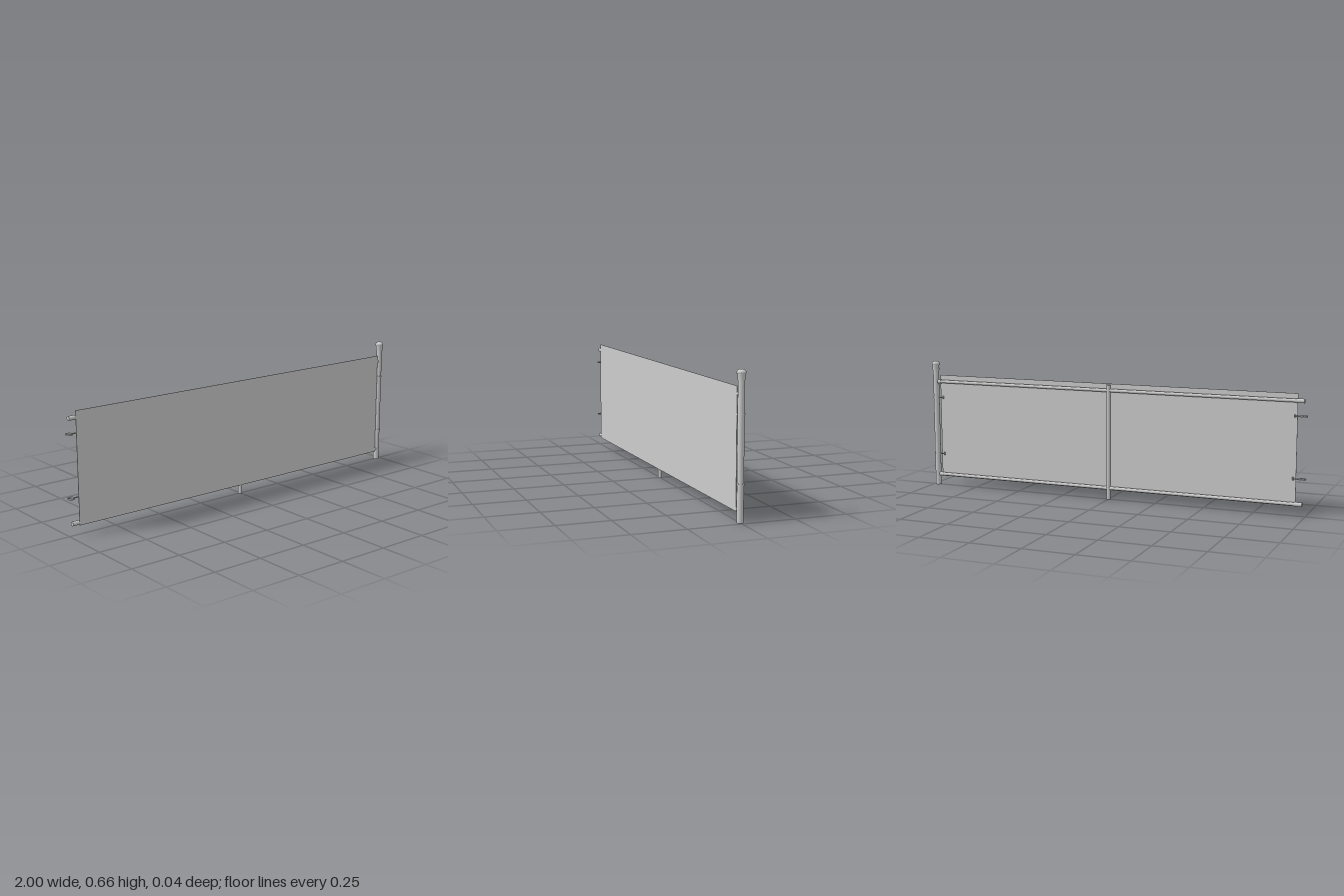
import * as THREE from 'three';

const material = new THREE.MeshStandardMaterial({ color: 0xcccccc });
const sheetMaterial = new THREE.MeshStandardMaterial({ color: 0xcccccc, side: THREE.DoubleSide });

export function createModel() {
  const group = new THREE.Group();

  const add = (name, geometry, x, y, z = 0, mat = material) => {
    const mesh = new THREE.Mesh(geometry, mat);
    mesh.name = name;
    mesh.position.set(x, y, z);
    group.add(mesh);
    return mesh;
  };

  // Horizontal tube between two x positions
  const bar = (name, r, x0, x1, y, z = 0) => {
    const geometry = new THREE.CylinderGeometry(r, r, x1 - x0, 20).rotateZ(Math.PI / 2);
    return add(name, geometry, (x0 + x1) / 2, y, z);
  };

  // Upright tube standing on the ground
  const post = (name, r, height, x) =>
    add(name, new THREE.CylinderGeometry(r, r, height, 32), x, height / 2);

  // Flat hinge ring, centred on its own height
  const ring = (name, x, y, inner, outer, h) => {
    const profile = [[inner, -h / 2], [outer, -h / 2], [outer, h / 2], [inner, h / 2], [inner, -h / 2]];
    const geometry = new THREE.LatheGeometry(
      profile.map(([r, v]) => new THREE.Vector2(r, v)), 32).toNonIndexed();
    geometry.computeVertexNormals();
    add(name, geometry, x, y, 0, sheetMaterial);
  };

  const postX = 0.976;
  const leftEnd = -0.95;
  const rightEnd = 0.955;

  // Fence sheet fixed to the front of the rails
  add('panel', new THREE.BoxGeometry(rightEnd - leftEnd, 0.54, 0.002),
    (leftEnd + rightEnd) / 2, 0.315, 0.009);

  // Main post and its domed cap
  post('endPost', 0.015, 0.64, postX);
  const capProfile = [
    [0.015, 0.612], [0.0172, 0.612], [0.0172, 0.638], [0.0205, 0.64], [0.0208, 0.647],
    [0.019, 0.651], [0.0145, 0.655], [0.008, 0.658], [0, 0.659],
  ].map(([r, y]) => new THREE.Vector2(r, y));
  add('postCap', new THREE.LatheGeometry(capProfile, 32), postX, 0);

  // Slim centre support
  post('centrePost', 0.0105, 0.58, 0);

  // Top and bottom rails with end sleeves
  for (const y of [0.552, 0.057]) {
    bar('rail', 0.0085, -0.975, 0.964, y);
    bar('railEndSleeve', 0.0105, -0.984, -0.945, y);
    bar('railEndSleeve', 0.0105, 0.945, 0.964, y);
  }

  // Hinge rings: open on the free side, wrapped round the post on the other
  const hinge = (x, y, side, inner, outer) => {
    ring('hingeRing', x, y, inner, outer, 0.0065);
    const near = x - side * (inner + 0.001);
    const far = side * 0.937;
    bar('hingeShank', 0.003, Math.min(near, far), Math.max(near, far), y);
    add('hingePin', new THREE.CylinderGeometry(0.004, 0.004, 0.014, 12), far, y);
  };
  for (const y of [0.467, 0.167]) {
    hinge(postX, y, 1, 0.0135, 0.0172);
    hinge(-0.983, y + 0.012, -1, 0.0125, 0.0172);
  }

  return group;
}
